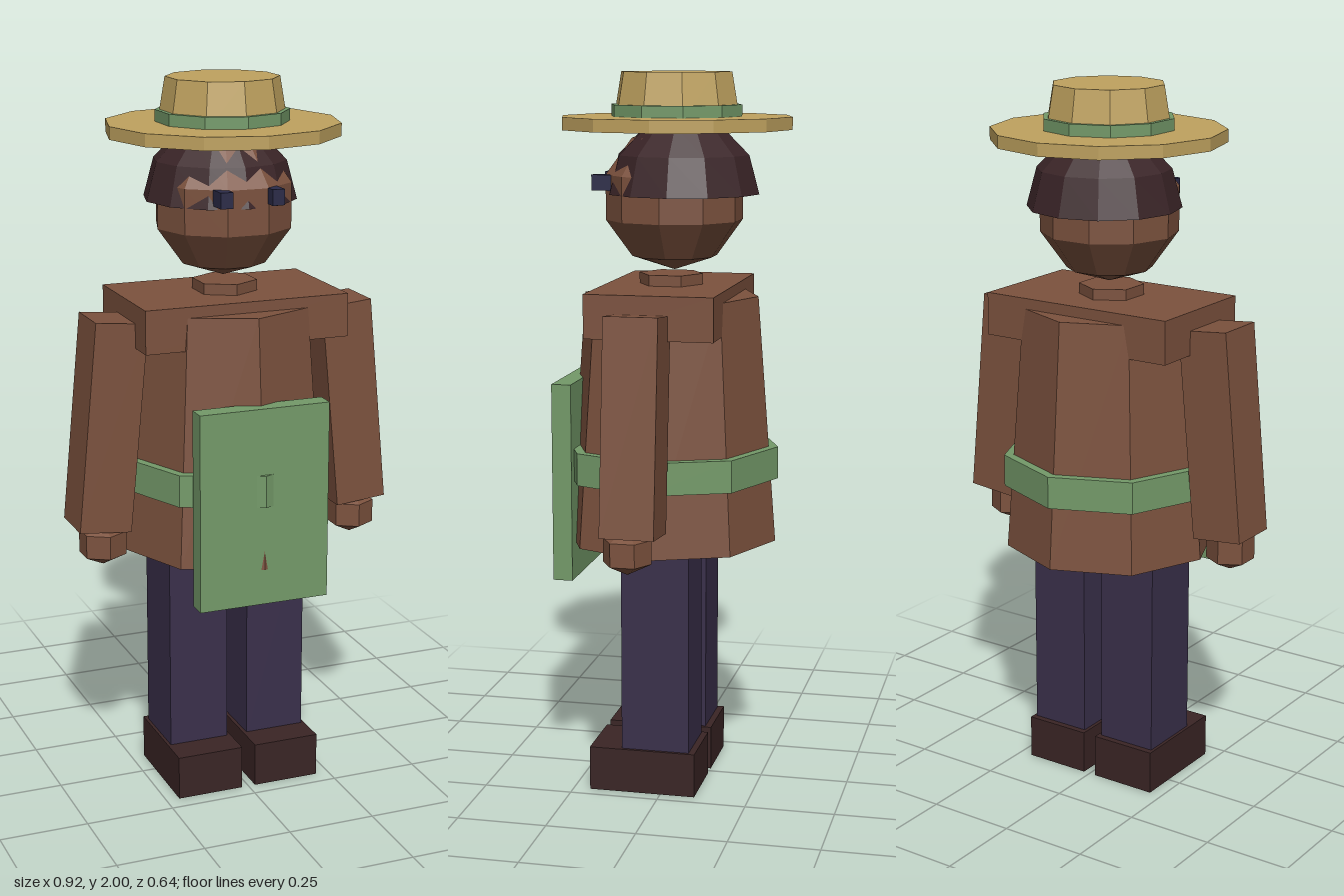
import * as THREE from 'three';

const material = (name, color) => {
  const m = new THREE.MeshStandardMaterial({ color });
  m.name = name;
  return m;
};

export function createModel() {
  const group = new THREE.Group();
  const brown = material('warm brown', 0x7c523e);
  const navy = material('trouser navy', 0x3a304b);
  const leather = material('dark leather', 0x3a2525);
  const hairDark = material('dark hair', 0x3a2427);
  const green = material('sage green', 0x749a69);
  const straw = material('straw', 0xbfa25f);
  const eyeBlue = material('eye blue', 0x2b2b48);

  // Faceted mesh: every triangle gets its own normal
  const add = (name, geometry, mat, x, y, z) => {
    const flat = geometry.index ? geometry.toNonIndexed() : geometry;
    flat.computeVertexNormals();
    const mesh = new THREE.Mesh(flat, mat);
    mesh.name = name;
    mesh.position.set(x, y, z);
    group.add(mesh);
    return mesh;
  };
  // Box given by its limits on each axis
  const box = (name, mat, [x0, x1], [y0, y1], [z0, z1]) =>
    add(name, new THREE.BoxGeometry(x1 - x0, y1 - y0, z1 - z0), mat,
      (x0 + x1) / 2, (y0 + y1) / 2, (z0 + z1) / 2);
  // Tapered prism between two heights
  const prism = (name, mat, rTop, rBottom, y0, y1, sides, z = 0) =>
    add(name, new THREE.CylinderGeometry(rTop, rBottom, y1 - y0, sides), mat, 0, (y0 + y1) / 2, z);

  // Tunic, belt, shoulders, neck and apron
  prism('tunic', brown, 0.247, 0.3, 0.7, 1.39, 8, 0.015);
  prism('belt', green, 0.306, 0.306, 0.88, 0.97, 8, 0.015);
  box('shoulders', brown, [-0.293, 0.293], [1.3, 1.42], [-0.165, 0.19]);
  prism('neck', brown, 0.09, 0.09, 1.4, 1.45, 6, 0.015);
  box('apron', green, [-0.187, 0.187], [0.6, 1.155], [0.256, 0.311]);

  // Head and hair cap
  add('head', new THREE.SphereGeometry(0.2, 10, 5), brown, 0, 1.66, 0.005);
  const cap = new THREE.SphereGeometry(0.212, 12, 3, 0, Math.PI * 2, 0, Math.PI / 2);
  add('hair', cap, hairDark, 0, 1.67, -0.02);
  const under = new THREE.CircleGeometry(0.212, 12).rotateX(Math.PI / 2);
  add('hairUnderside', under, hairDark, 0, 1.67, -0.02);

  // Straw hat
  prism('hatBrim', straw, 0.322, 0.322, 1.845, 1.88, 12);
  prism('hatCrown', straw, 0.155, 0.177, 1.87, 2, 10);
  prism('hatBand', green, 0.183, 0.183, 1.875, 1.912, 10);

  // Paired parts
  for (const s of [-1, 1]) {
    const side = s > 0 ? 'left' : 'right';
    const span = (a, b) => (s > 0 ? [a, b] : [-b, -a]);
    box(side + 'Eye', eyeBlue, span(0.056, 0.091), [1.68, 1.723], [0.16, 0.218]);
    box(side + 'Leg', navy, span(0.03, 0.203), [0.11, 0.75], [-0.08, 0.112]);
    box(side + 'Shoe', leather, span(0.02, 0.212), [0, 0.125], [-0.098, 0.203]);
    const arm = add(side + 'Arm', new THREE.BoxGeometry(0.148, 0.585, 0.148), brown, s * 0.357, 1.08, 0.033);
    arm.rotation.z = s * 0.095;
    const hand = new THREE.SphereGeometry(0.077, 6, 3).rotateY(Math.PI / 2).scale(1, 0.85, 1);
    add(side + 'Hand', hand, brown, s * 0.376, 0.745, 0.05);
  }
  return group;
}
